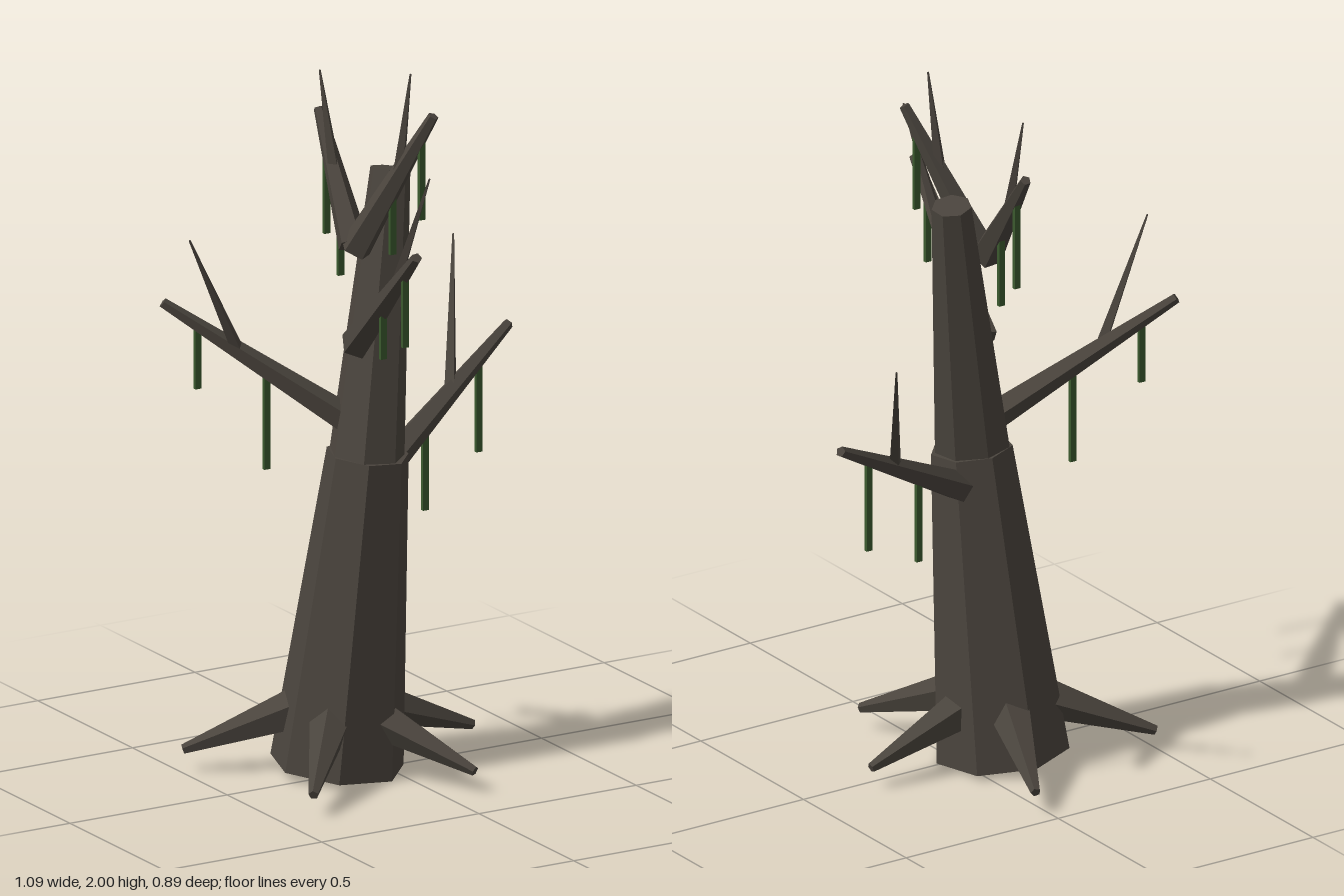
import * as THREE from 'three';

const bark = new THREE.MeshStandardMaterial({ color: 0x4a443d, flatShading: true });
bark.name = 'bark';
const moss = new THREE.MeshStandardMaterial({ color: 0x3b5a2e, flatShading: true });
moss.name = 'moss';

const UP = new THREE.Vector3(0, 1, 0);

// Tapered low-poly limb running from point a to point b
function limb(name, a, b, ra, rb, sides, phase = 0) {
  const start = new THREE.Vector3(...a), end = new THREE.Vector3(...b);
  const dir = end.clone().sub(start);
  const geo = new THREE.CylinderGeometry(rb, ra, dir.length(), sides, 1, false, THREE.MathUtils.degToRad(phase));
  const mesh = new THREE.Mesh(geo, bark);
  mesh.name = name;
  mesh.position.copy(start).add(end).multiplyScalar(0.5);
  mesh.quaternion.setFromUnitVectors(UP, dir.normalize());
  return mesh;
}

// Thin strip of moss hanging from top down to y = bottom
function mossStrand(x, top, bottom, z) {
  const mesh = new THREE.Mesh(new THREE.BoxGeometry(0.019, top - bottom, 0.011), moss);
  mesh.name = 'hangingMoss';
  mesh.position.set(x, (top + bottom) / 2, z);
  return mesh;
}

// base, tip: branch ends; twig: its ends; strands: [fraction along branch, bottom height]
const BRANCHES = [
  { name: 'leftBranch', base: [0.0, 0.815, -0.04], tip: [0.537, 1.115, -0.236],
    twig: [[0.30, 0.985, -0.15], [0.427, 1.36, -0.345]], strands: [[0.367, 0.67], [0.773, 0.78]] },
  { name: 'rightBranch', base: [-0.08, 0.98, -0.01], tip: [-0.537, 1.335, -0.28],
    twig: [[-0.36, 1.195, -0.172], [-0.523, 1.543, -0.16]], strands: [[0.466, 0.86], [0.82, 1.09]] },
  { name: 'frontBranch', base: [-0.09, 1.22, 0.0], tip: [-0.16, 1.595, 0.437],
    twig: [[-0.13, 1.44, 0.26], [-0.08, 1.79, 0.372]], strands: [[0.446, 1.235], [0.808, 1.315]] },
  { name: 'upperFrontBranch', base: [-0.075, 1.48, -0.03], tip: [0.06, 1.89, 0.16],
    twig: [[0.0, 1.71, 0.075], [0.023, 2.0, 0.1]], strands: [[0.48, 1.48], [0.85, 1.59]] },
  { name: 'upperBackBranch', base: [-0.072, 1.49, -0.045], tip: [-0.03, 1.805, -0.297],
    twig: [[-0.05, 1.66, -0.18], [-0.07, 1.94, -0.225]], strands: [[0.37, 1.375], [0.77, 1.465]] },
];

const ROOT_TIPS = [[-0.4, 0.29], [0.09, 0.33], [0.305, -0.04], [0.03, -0.435], [-0.49, -0.25]];

export function createModel() {
  const tree = new THREE.Group();
  tree.name = 'deadTree';

  // Leaning trunk in two segments
  tree.add(limb('lowerTrunk', [-0.122, 0.015, -0.045], [-0.058, 0.907, 0.01], 0.187, 0.115, 7, 22));
  tree.add(limb('upperTrunk', [-0.065, 0.88, 0.01], [0.067, 1.677, -0.08], 0.107, 0.056, 7, 17));

  // Roots spreading from the trunk foot
  for (const [x, z] of ROOT_TIPS) {
    const base = [-0.12 + (x + 0.12) * 0.28, 0.17, -0.045 + (z + 0.045) * 0.28];
    tree.add(limb('root', base, [x, 0.06, z], 0.06, 0.014, 5));
  }

  // Branches with a twig and two moss strands each
  for (const { name, base, tip, twig, strands } of BRANCHES) {
    const group = new THREE.Group();
    group.name = name;
    group.add(limb('branch', base, tip, 0.045, 0.015, 5));
    group.add(limb('twig', twig[0], twig[1], 0.019, 0.003, 4));
    for (const [t, bottom] of strands) {
      const p = new THREE.Vector3(...base).lerp(new THREE.Vector3(...tip), t);
      group.add(mossStrand(p.x, p.y, bottom, p.z));
    }
    tree.add(group);
  }
  return tree;
}
